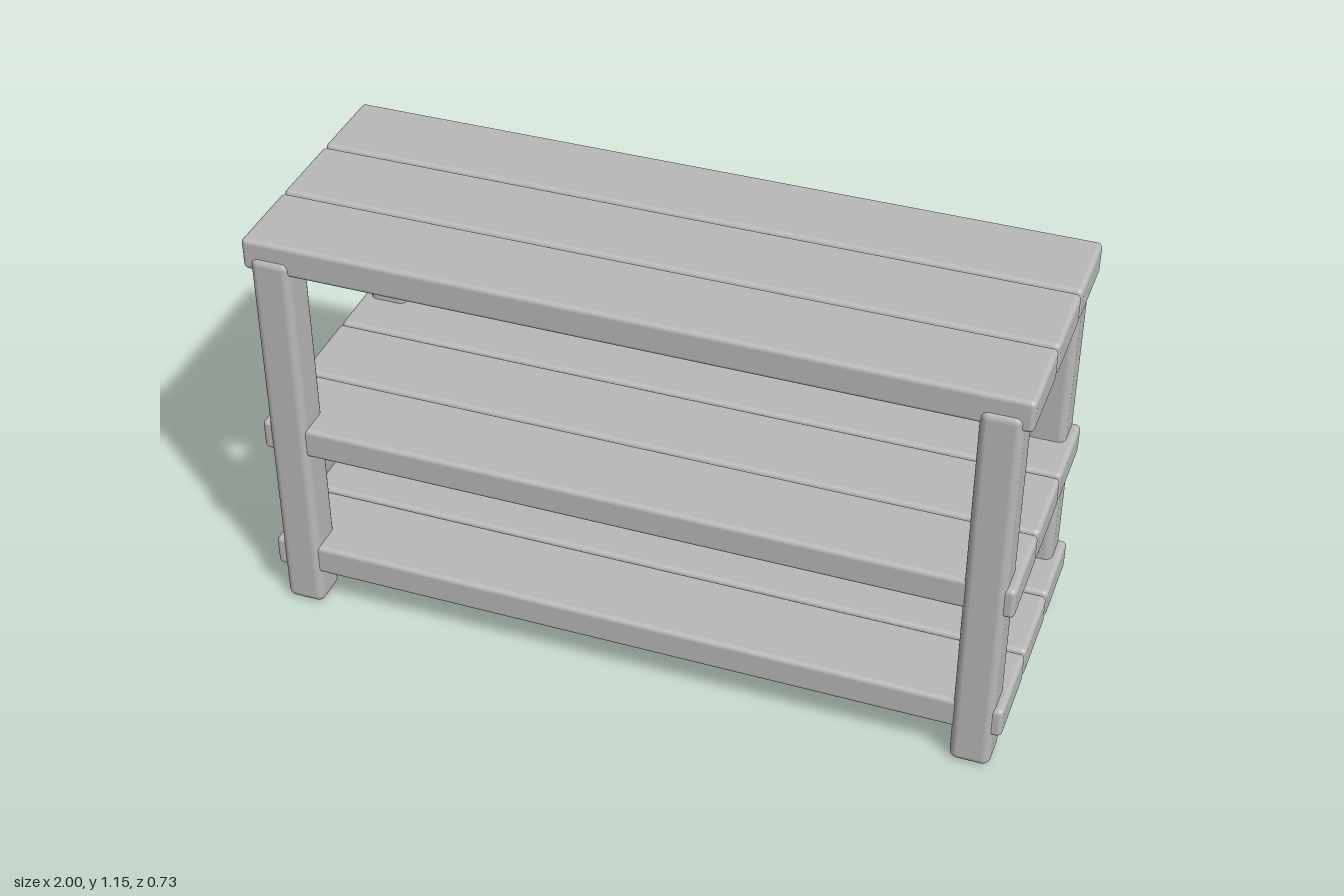
import * as THREE from 'three';
import { RoundedBoxGeometry } from 'three/addons/geometries/RoundedBoxGeometry.js';

export function createModel() {
  const model = new THREE.Group();
  model.name = 'slattedShelf';
  const grey = new THREE.MeshStandardMaterial({ color: 0xb8b8b8 });
  grey.name = 'plainGrey';

  const legGeometry = new RoundedBoxGeometry(0.106, 1.1, 0.108, 4, 0.022);
  const plankGeometry = new RoundedBoxGeometry(2, 0.088, 0.232, 4, 0.013);

  const add = (parent, name, geometry, x, y, z) => {
    const mesh = new THREE.Mesh(geometry, grey);
    mesh.name = name;
    mesh.position.set(x, y, z);
    parent.add(mesh);
  };

  // Four corner legs, standing slightly proud of the planks
  for (const [side, sx] of [['Left', 1], ['Right', -1]]) {
    for (const [end, sz] of [['front', 1], ['back', -1]]) {
      add(model, `${end}${side}Leg`, legGeometry, sx * 0.925, 0.55, sz * 0.309);
    }
  }

  // Three shelves of three planks each
  for (const [name, y] of [['bottomShelf', 0.148], ['middleShelf', 0.541], ['topShelf', 1.102]]) {
    const shelf = new THREE.Group();
    shelf.name = name;
    shelf.position.y = y;
    for (const [plank, z] of [['backPlank', -0.238], ['centrePlank', 0], ['frontPlank', 0.238]]) {
      add(shelf, plank, plankGeometry, 0, 0, z);
    }
    model.add(shelf);
  }
  return model;
}
